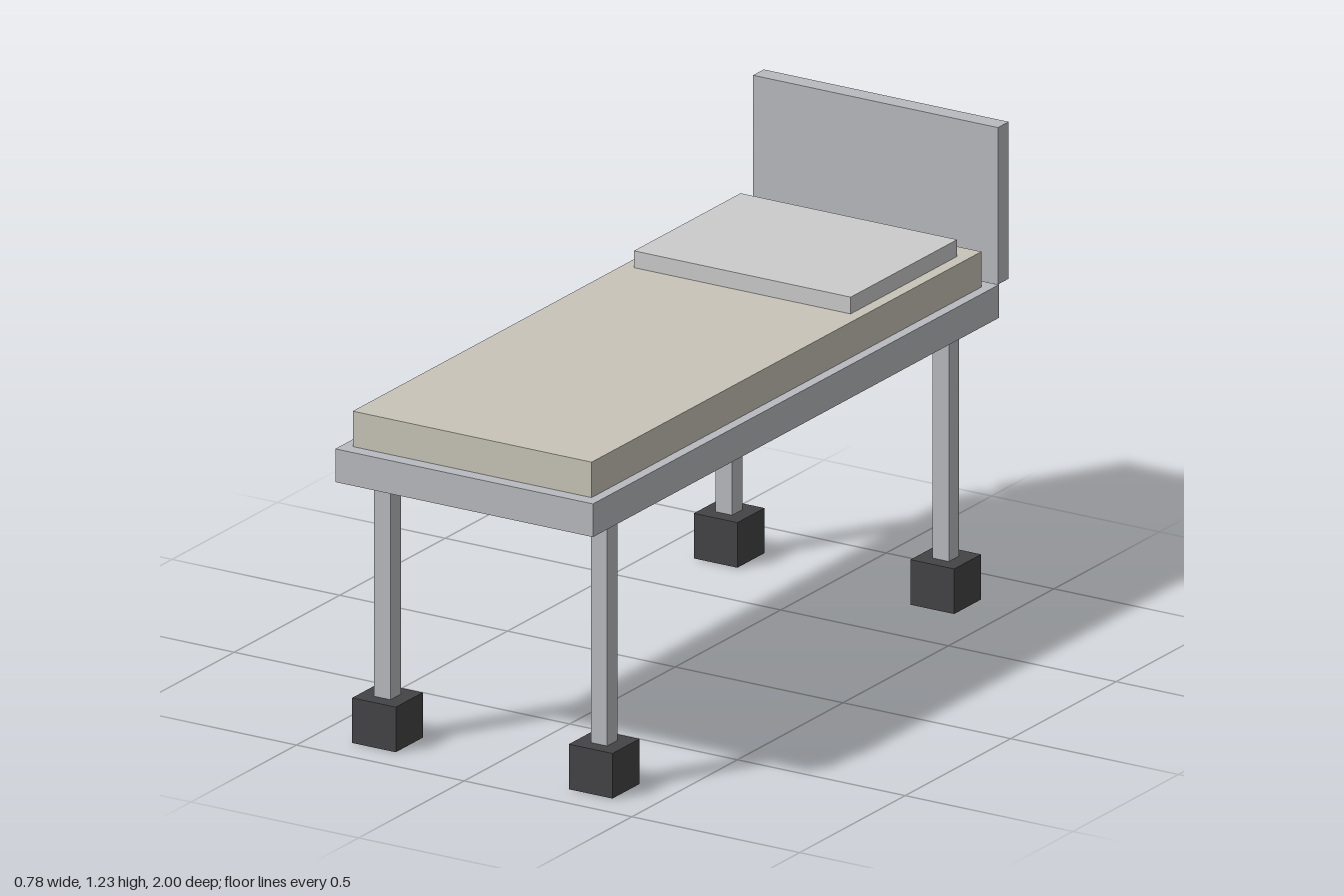
import * as THREE from 'three';

const mat = (color) => new THREE.MeshStandardMaterial({ color });

export function createModel() {
  const bed = new THREE.Group();
  bed.name = 'bed';
  const metal = mat(0xb8babf);
  const rubber = mat(0x444446);
  const fabric = mat(0xc8c4b8);
  const linen = mat(0xcccdca);

  // Box from its extents: half width about x, then y and z ranges
  const box = (name, material, x, halfW, y0, y1, z0, z1) => {
    const mesh = new THREE.Mesh(new THREE.BoxGeometry(halfW * 2, y1 - y0, z1 - z0), material);
    mesh.name = name;
    mesh.position.set(x, (y0 + y1) / 2, (z0 + z1) / 2);
    bed.add(mesh);
  };

  box('frame', metal, 0, 0.384, 0.728, 0.817, -0.923, 1);
  box('mattress', fabric, 0, 0.356, 0.817, 0.912, -0.885, 0.962);
  box('pillow', linen, 0, 0.323, 0.912, 0.957, -0.823, -0.318);
  box('headboard', metal, 0, 0.365, 0.806, 1.227, -1, -0.949);

  // Four legs, each standing in a block foot
  for (const [end, z] of [['front', 0.85], ['back', -0.769]]) {
    for (const [side, x] of [['Left', 0.323], ['Right', -0.323]]) {
      box(`${end}${side}Leg`, metal, x, 0.0245, 0, 0.728, z - 0.0245, z + 0.0245);
      box(`${end}${side}Foot`, rubber, x, 0.065, 0.001, 0.122, z - 0.064, z + 0.064);
    }
  }
  return bed;
}
